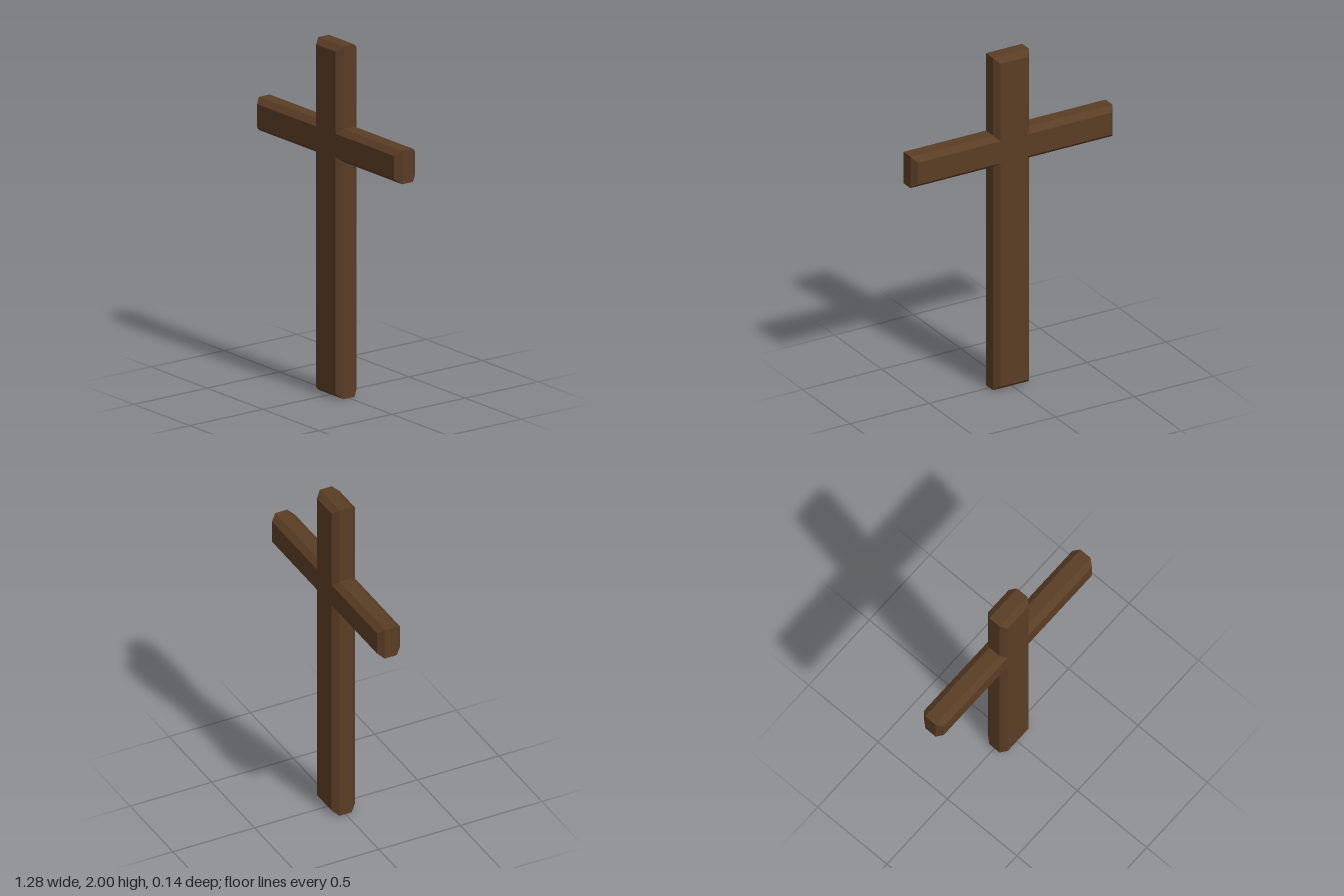
import * as THREE from 'three';

export function createModel() {
  const group = new THREE.Group();
  group.name = 'cross';

  const wood = new THREE.MeshStandardMaterial({ color: 0x5a3d25 });
  wood.name = 'dark brown wood';

  const bevel = 0.028;          // chamfer width seen from the front
  const chamferDepth = 0.034;
  const coreDepth = 0.074;      // straight band around the edge

  // Outer limits of post and crossbar
  const post = { left: -0.112, right: 0.117, bottom: 0, top: 2 };
  const bar = { left: -0.64, right: 0.64, bottom: 1.346, top: 1.534 };

  // Silhouette of the front face; the chamfer grows it to the outer limits
  const inset = ({ left, right, bottom, top }) => ({
    left: left + bevel, right: right - bevel, bottom: bottom + bevel, top: top - bevel,
  });
  const p = inset(post), b = inset(bar);
  const outline = new THREE.Shape([
    [p.left, p.bottom], [p.right, p.bottom],
    [p.right, b.bottom], [b.right, b.bottom], [b.right, b.top], [p.right, b.top],
    [p.right, p.top], [p.left, p.top],
    [p.left, b.top], [b.left, b.top], [b.left, b.bottom], [p.left, b.bottom],
  ].map(([x, y]) => new THREE.Vector2(x, y)));

  // Post and crossbar as one chamfered body
  const geometry = new THREE.ExtrudeGeometry(outline, {
    depth: coreDepth,
    bevelEnabled: true,
    bevelSegments: 1,
    bevelSize: bevel,
    bevelThickness: chamferDepth,
  });
  geometry.translate(0, 0, -coreDepth / 2);

  const body = new THREE.Mesh(geometry, wood);
  body.name = 'postAndCrossbar';
  group.add(body);
  return group;
}
